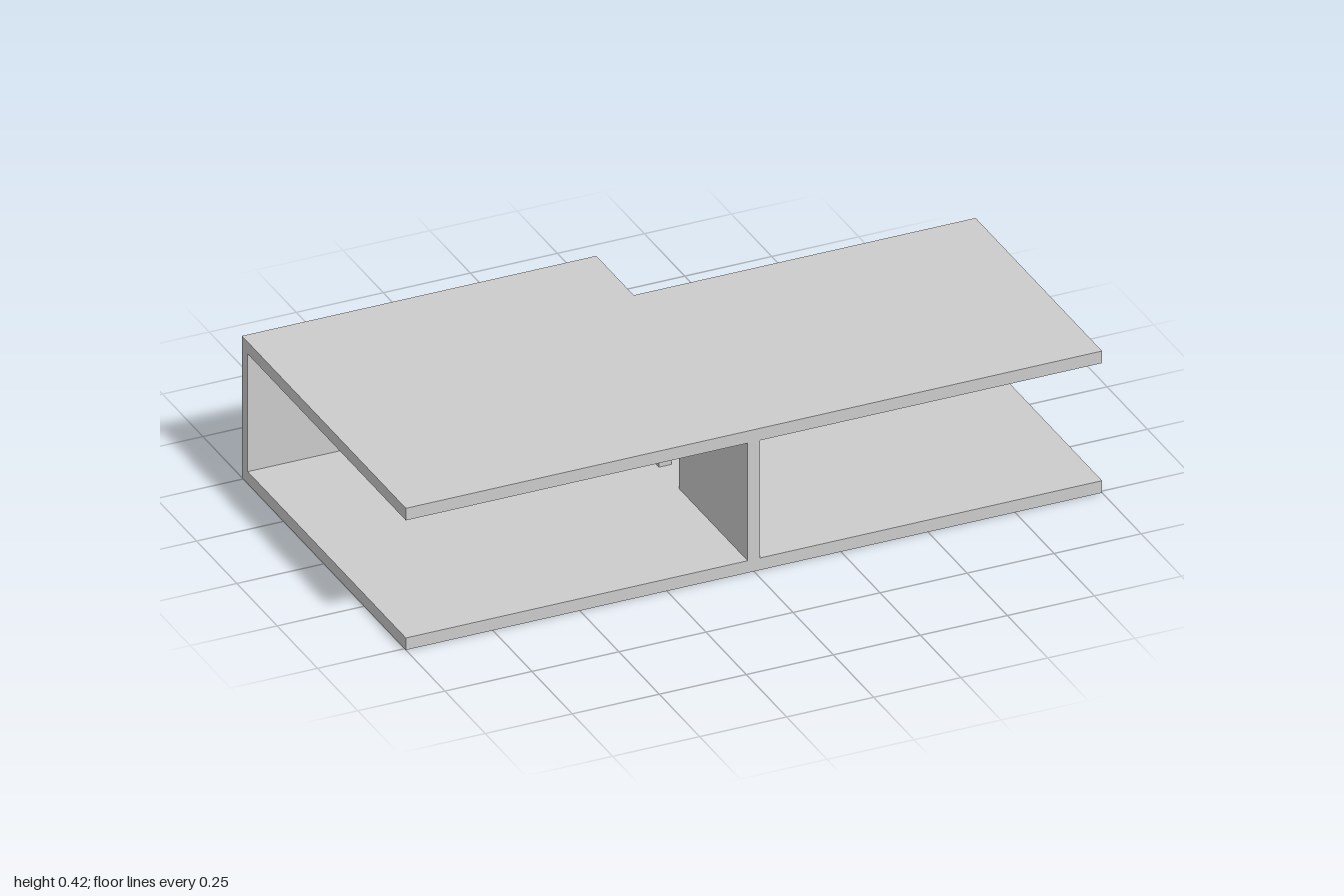
import * as THREE from 'three';

const T = 0.036;                       // wall and slab thickness
const H = 0.423;                       // overall height
const FRONT = 0.508, BACK = -0.508;    // z limits of the deep bay
const STEP = -0.276;                   // back of the shallow bay
const MID = T / 2;                     // half thickness of the dividing wall

const material = new THREE.MeshStandardMaterial({ color: 0xcccccc });

function outline(points) {
  return new THREE.Shape(points.map(([x, y]) => new THREE.Vector2(x, y)));
}

function extrude(points, depth) {
  return new THREE.ExtrudeGeometry(outline(points), { depth, bevelEnabled: false });
}

export function createModel() {
  const group = new THREE.Group();
  const add = (name, geometry, x = 0, y = 0, z = 0) => {
    const mesh = new THREE.Mesh(geometry, material);
    mesh.name = name;
    mesh.position.set(x, y, z);
    group.add(mesh);
  };

  // Floor and ceiling share one stepped plan (drawn as x, -z)
  const plan = [[-1, -FRONT], [1, -FRONT], [1, -STEP], [MID, -STEP], [MID, -BACK], [-1, -BACK]];
  const slab = extrude(plan, T).rotateX(-Math.PI / 2);
  add('floor', slab);
  add('ceiling', slab, 0, H - T);

  // Dividing wall with a doorway down to the floor (drawn as -z, y)
  const top = H - T, doorTop = 0.315, doorFront = -0.082, doorBack = 0.043;
  const divider = extrude([
    [-FRONT, T], [doorFront, T], [doorFront, doorTop], [doorBack, doorTop],
    [doorBack, T], [-BACK, T], [-BACK, top], [-FRONT, top],
  ], T).rotateY(Math.PI / 2);
  add('dividingWall', divider, -MID);

  // Back walls of the two bays; the fronts and ends stay open
  const wall = new THREE.BoxGeometry(1 - MID, H - 2 * T, T);
  const wallX = (1 + MID) / 2;
  add('deepBayBackWall', wall, -wallX, H / 2, BACK + T / 2);
  add('shallowBayBackWall', wall, wallX, H / 2, STEP + T / 2);

  return group;
}
